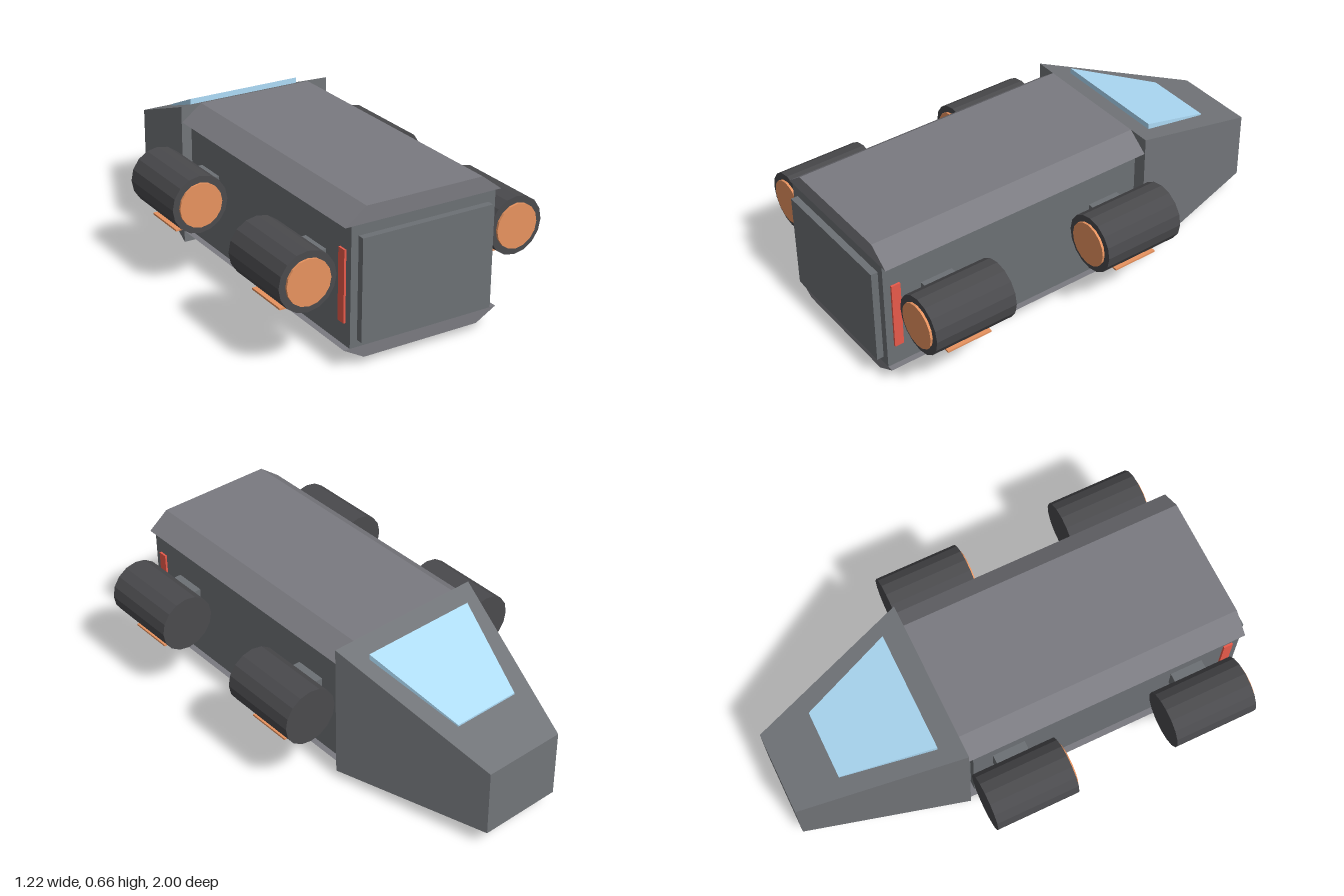
import * as THREE from 'three';

const paint = (color) => new THREE.MeshStandardMaterial({ color, flatShading: true });

export function createModel() {
  const model = new THREE.Group();
  model.name = 'cargoShuttle';

  const panel = paint(0x7a7a80);
  const wall = paint(0x6c7074);
  const nose = paint(0x727579);
  const dark = paint(0x4a4a4d);
  const orange = paint(0xe8935f);
  const red = paint(0xe85a4a);
  const glass = paint(0xaedcf8);

  const add = (name, geometry, material, parent = model) => {
    const mesh = new THREE.Mesh(geometry, material);
    mesh.name = name;
    parent.add(mesh);
    return mesh;
  };

  // Box given by its limits on each axis
  const box = (name, [x0, x1], [y0, y1], [z0, z1], material, parent) => {
    const mesh = add(name, new THREE.BoxGeometry(x1 - x0, y1 - y0, z1 - z0), material, parent);
    mesh.position.set((x0 + x1) / 2, (y0 + y1) / 2, (z0 + z1) / 2);
    return mesh;
  };

  // Box whose front and back ends have their own half width and height limits
  const taperedBox = (name, front, back, material) => {
    const g = new THREE.BoxGeometry(2, 2, 2);
    const p = g.attributes.position;
    for (let i = 0; i < p.count; i++) {
      const end = p.getZ(i) > 0 ? front : back;
      p.setXYZ(i, p.getX(i) * end.half, p.getY(i) > 0 ? end.top : end.bottom, end.z);
    }
    g.computeVertexNormals();
    return add(name, g, material);
  };

  // Long cap with sloping sides, from a trapezoid section
  const cap = (name, yWide, yNarrow, material) => {
    const points = [[-0.357, yWide], [0.357, yWide], [0.265, yNarrow], [-0.265, yNarrow]];
    const shape = new THREE.Shape(points.map(([x, y]) => new THREE.Vector2(x, y)));
    const g = new THREE.ExtrudeGeometry(shape, { depth: 1.26, bevelEnabled: false });
    g.translate(0, 0, -0.29);
    return add(name, g, material);
  };

  // Cargo body with its roof, floor and end doors
  box('hull', [-0.33, 0.33], [0.085, 0.59], [-0.26, 0.97], wall);
  cap('roof', 0.59, 0.66, panel);
  cap('floor', 0.085, 0.033, panel);
  box('cargoDoor', [-0.298, 0.298], [0.115, 0.547], [0.965, 1], wall);
  box('bulkhead', [-0.298, 0.298], [0.115, 0.555], [-0.295, -0.255], wall);

  // Cockpit and windscreen
  taperedBox('cockpit',
    { z: -0.29, half: 0.36, bottom: 0.035, top: 0.66 },
    { z: -1, half: 0.185, bottom: 0.08, top: 0.385 }, nose);
  taperedBox('windscreen',
    { z: -0.385, half: 0.265, bottom: 0.6, top: 0.648 },
    { z: -0.782, half: 0.153, bottom: 0.45, top: 0.477 }, glass);

  for (const side of [-1, 1]) {
    // Landing skids and warning lights
    const span = (a, b) => (side > 0 ? [a, b] : [-b, -a]);
    box('skid', span(0.207, 0.255), [0, 0.04], [-0.295, 0.855], dark);
    box('markerLight', span(0.325, 0.339), [0.18, 0.485], [0.897, 0.938], red);

    // Engine pods with pylon, glowing nozzle and lower vent
    for (const z of [-0.095, 0.73]) {
      const engine = new THREE.Group();
      engine.name = 'engine';
      engine.position.set(side * 0.483, 0.383, z);
      model.add(engine);
      const pod = add('pod', new THREE.CylinderGeometry(0.126, 0.126, 0.37, 16), dark, engine);
      pod.rotation.x = Math.PI / 2;
      const glow = add('nozzle', new THREE.CylinderGeometry(0.097, 0.097, 0.02, 16), orange, engine);
      glow.rotation.x = Math.PI / 2;
      glow.position.z = 0.185;
      box('vent', [-0.071, 0.071], [-0.136, -0.128], [-0.102, 0.102], orange, engine);
      const inner = side > 0 ? [-0.155, -0.06] : [0.06, 0.155];
      box('pylon', inner, [-0.05, 0.05], [-0.075, 0.07], wall, engine);
    }
  }
  return model;
}
